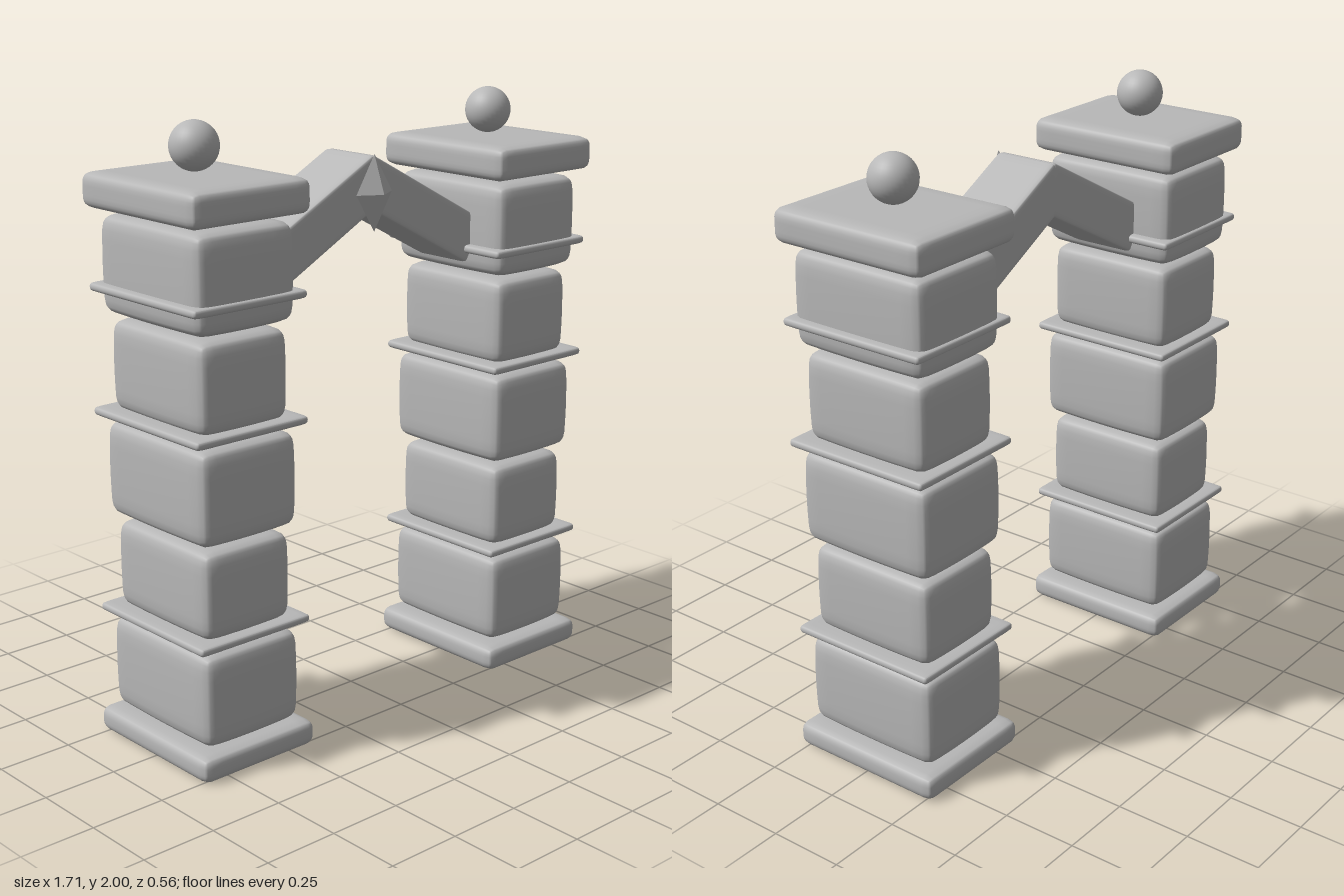
import * as THREE from 'three';
import { mergeVertices } from 'three/addons/utils/BufferGeometryUtils.js';

const stone = new THREE.MeshStandardMaterial({ color: 0xb8b8b8 });
stone.name = 'grey stone';

// Softly worn block: rounded edges of radius r, with sides bulging slightly
function softBlock(w, h, d, r, bulge = 0, seg = 12) {
  const raw = new THREE.BoxGeometry(2, 2, 2, seg, seg, seg);
  raw.deleteAttribute('uv');
  raw.deleteAttribute('normal');
  const geo = mergeVertices(raw);
  const half = new THREE.Vector3(w / 2, h / 2, d / 2);
  const core = half.clone().subScalar(r);
  const low = core.clone().negate();
  const pos = geo.attributes.position;
  const p = new THREE.Vector3();
  const inner = new THREE.Vector3();
  const ease = (t) => Math.sin(t * Math.PI / 2); // more points near the edges
  for (let i = 0; i < pos.count; i++) {
    p.fromBufferAttribute(pos, i);
    p.set(ease(p.x), ease(p.y), ease(p.z)).multiply(half);
    inner.copy(p).clamp(low, core);
    p.sub(inner).setLength(r).add(inner);
    const x = (p.x / half.x) ** 2, y = (p.y / half.y) ** 2, z = (p.z / half.z) ** 2;
    p.x *= 1 - bulge * (y + z) / 2;
    p.y *= 1 - bulge * (x + z) / 2;
    p.z *= 1 - bulge * (x + y) / 2;
    pos.setXYZ(i, p.x, p.y, p.z);
  }
  geo.computeVertexNormals();
  return geo;
}

function addMesh(parent, name, geometry, x = 0, y = 0, z = 0) {
  const mesh = new THREE.Mesh(geometry, stone);
  mesh.name = name;
  mesh.position.set(x, y, z);
  parent.add(mesh);
  return mesh;
}

function createPillar(name) {
  const pillar = new THREE.Group();
  pillar.name = name;

  addMesh(pillar, 'base', softBlock(0.45, 0.085, 0.56, 0.032), 0, 0.0475);

  // Stacked blocks, alternately wide and narrow: bottom, top, width, depth
  const blocks = [
    [0.095, 0.407, 0.38, 0.51],
    [0.44, 0.733, 0.345, 0.475],
    [0.748, 1.06, 0.38, 0.51],
    [1.09, 1.386, 0.345, 0.475],
    [1.398, 1.712, 0.38, 0.51],
  ];
  blocks.forEach(([y0, y1, w, d], i) =>
    addMesh(pillar, `block${i + 1}`, softBlock(w, y1 - y0, d, 0.04, 0.035), 0, (y0 + y1) / 2));

  // Thin bands around the shaft
  [0.438, 1.09, 1.485].forEach((y, i) =>
    addMesh(pillar, `band${i + 1}`, softBlock(0.432, 0.028, 0.53, 0.0135), 0, y));

  addMesh(pillar, 'cap', softBlock(0.45, 0.112, 0.565, 0.033), 0, 1.783);
  addMesh(pillar, 'finial', new THREE.SphereGeometry(0.077, 32, 20), 0, 1.923);
  return pillar;
}

export function createModel() {
  const gate = new THREE.Group();
  gate.name = 'stoneGate';

  const beamAngle = 0.49;
  const beamLength = 0.57;
  const beamHeight = 0.16;
  for (const [side, s] of [['left', 1], ['right', -1]]) {
    const pillar = createPillar(`${side}Pillar`);
    pillar.position.x = s * 0.628;
    gate.add(pillar);

    // Sloping beam, its upper corner meeting the other beam at the apex
    const c = Math.cos(beamAngle), n = Math.sin(beamAngle);
    const x = c * beamLength / 2 - n * beamHeight / 2;
    const y = 1.845 - n * beamLength / 2 - c * beamHeight / 2;
    const beam = addMesh(gate, `${side}Beam`,
      softBlock(beamLength, beamHeight, 0.225, 0.014), s * x, y, -0.003);
    beam.rotation.z = -s * beamAngle;
  }

  // Pointed keystone on the front of the apex
  const keystone = new THREE.OctahedronGeometry(1);
  keystone.scale(0.077, 0.124, 0.046);
  addMesh(gate, 'keystone', keystone, 0, 1.722, 0.11);

  return gate;
}
